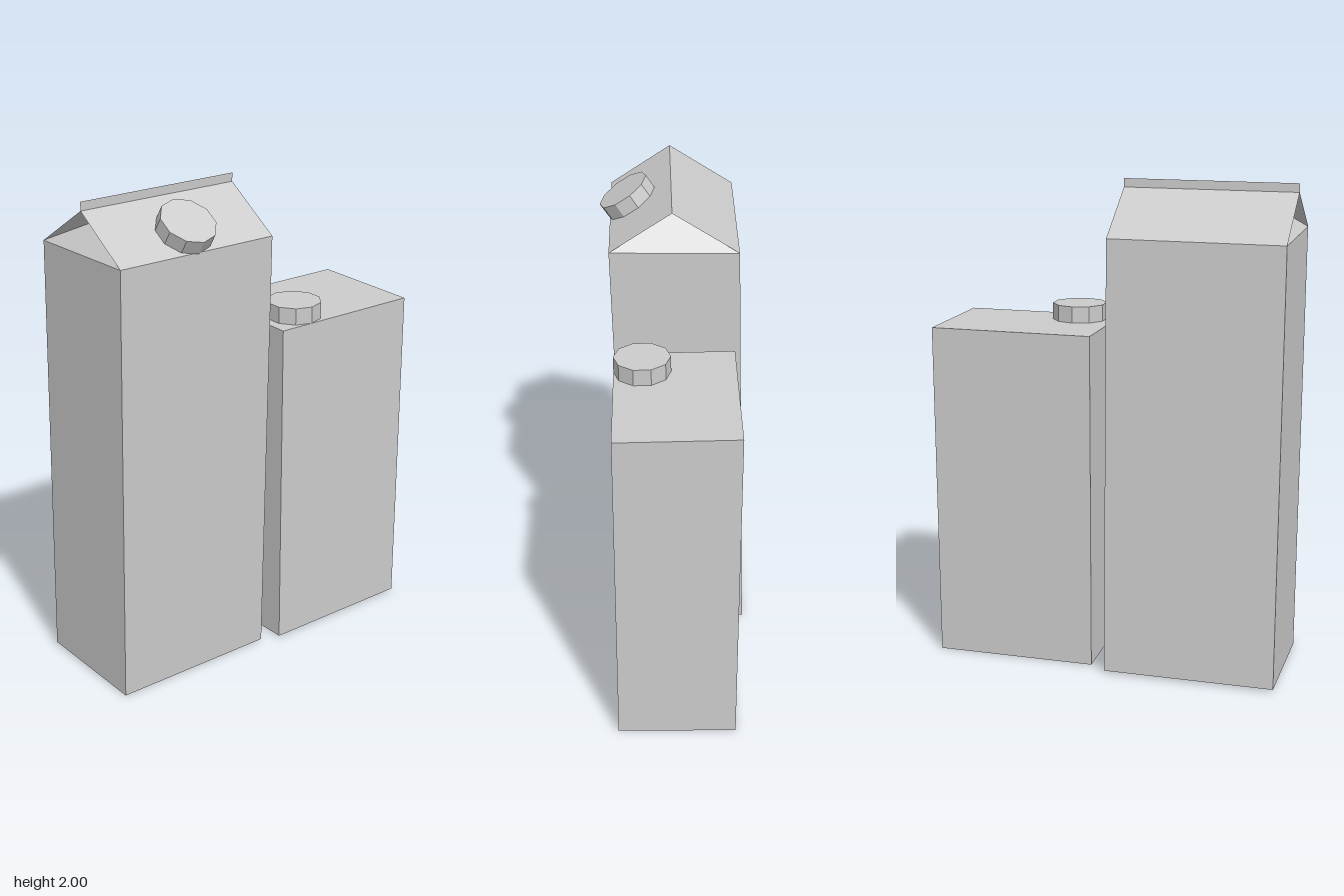
import * as THREE from 'three';

const material = new THREE.MeshStandardMaterial({ color: 0xcccccc, flatShading: true, side: THREE.DoubleSide });

function part(name, geometry) {
  const mesh = new THREE.Mesh(geometry, material);
  mesh.name = name;
  return mesh;
}

// Prism along x from a side outline of [z, y] points
function prism(name, outline, x0, x1) {
  const shape = new THREE.Shape(outline.map(([z, y]) => new THREE.Vector2(-z, y)));
  const geometry = new THREE.ExtrudeGeometry(shape, { depth: x1 - x0, bevelEnabled: false });
  geometry.rotateY(Math.PI / 2).translate(x0, 0, 0);
  return part(name, geometry);
}

// Flat panels, each a fan of corner points
function panels(name, faces) {
  const positions = [];
  for (const face of faces) {
    for (let i = 1; i < face.length - 1; i++) positions.push(...face[0], ...face[i], ...face[i + 1]);
  }
  const geometry = new THREE.BufferGeometry();
  geometry.setAttribute('position', new THREE.Float32BufferAttribute(positions, 3));
  geometry.computeVertexNormals();
  return part(name, geometry);
}

// Ten-sided screw cap
function cap(name, x, y, z, height, tilt) {
  const mesh = part(name, new THREE.CylinderGeometry(0.113, 0.113, height, 10));
  mesh.position.set(x, y, z);
  mesh.rotation.x = tilt;
  return mesh;
}

function tallCarton() {
  const group = new THREE.Group();
  group.name = 'tallCarton';
  const x0 = -0.726, x1 = -0.02;
  const front = [0.257, 1.80], back = [-0.255, 1.795], ridge = [0.01, 1.965];

  // Slightly leaning body
  group.add(prism('tallBody', [[0.208, 0], front, back, [-0.302, 0.01]], x0, x1));

  // Sloping roof panels and the sealed fin along the ridge
  const at = (x, [z, y]) => [x, y, z];
  group.add(panels('roof', [
    [at(x0, front), at(x1, front), at(x1, ridge), at(x0, ridge)],
    [at(x1, back), at(x0, back), at(x0, ridge), at(x1, ridge)],
  ]));
  const finTop = [0.011, 2.0];
  group.add(panels('topFin', [[at(x0, ridge), at(x1, ridge), at(x1, finTop), at(x0, finTop)]]));

  // Folded-in gables at both ends
  for (const [x, side] of [[x1, 1], [x0, -1]]) {
    const f = at(x, front), b = at(x, back), r = at(x, ridge);
    const inner = [x - side * 0.13, 1.925, 0.008];
    const faces = [[f, b, inner], [f, inner, r], [inner, b, r]];
    if (side < 0) faces.forEach((face) => face.reverse());
    group.add(panels('foldedGable', faces));
  }

  // Cap square to the front roof slope
  group.add(cap('tallCap', -0.38, 1.886, 0.187, 0.062, 0.583));
  return group;
}

function shortCarton() {
  const group = new THREE.Group();
  group.name = 'shortCarton';
  group.add(prism('shortBody', [[0.241, 0.004], [0.243, 1.394], [-0.24, 1.402], [-0.237, 0]], 0.053, 0.72));
  group.add(cap('shortCap', 0.203, 1.427, 0.13, 0.074, 0.012));
  return group;
}

export function createModel() {
  const model = new THREE.Group();
  model.name = 'cartons';
  model.add(tallCarton(), shortCarton());
  return model;
}
